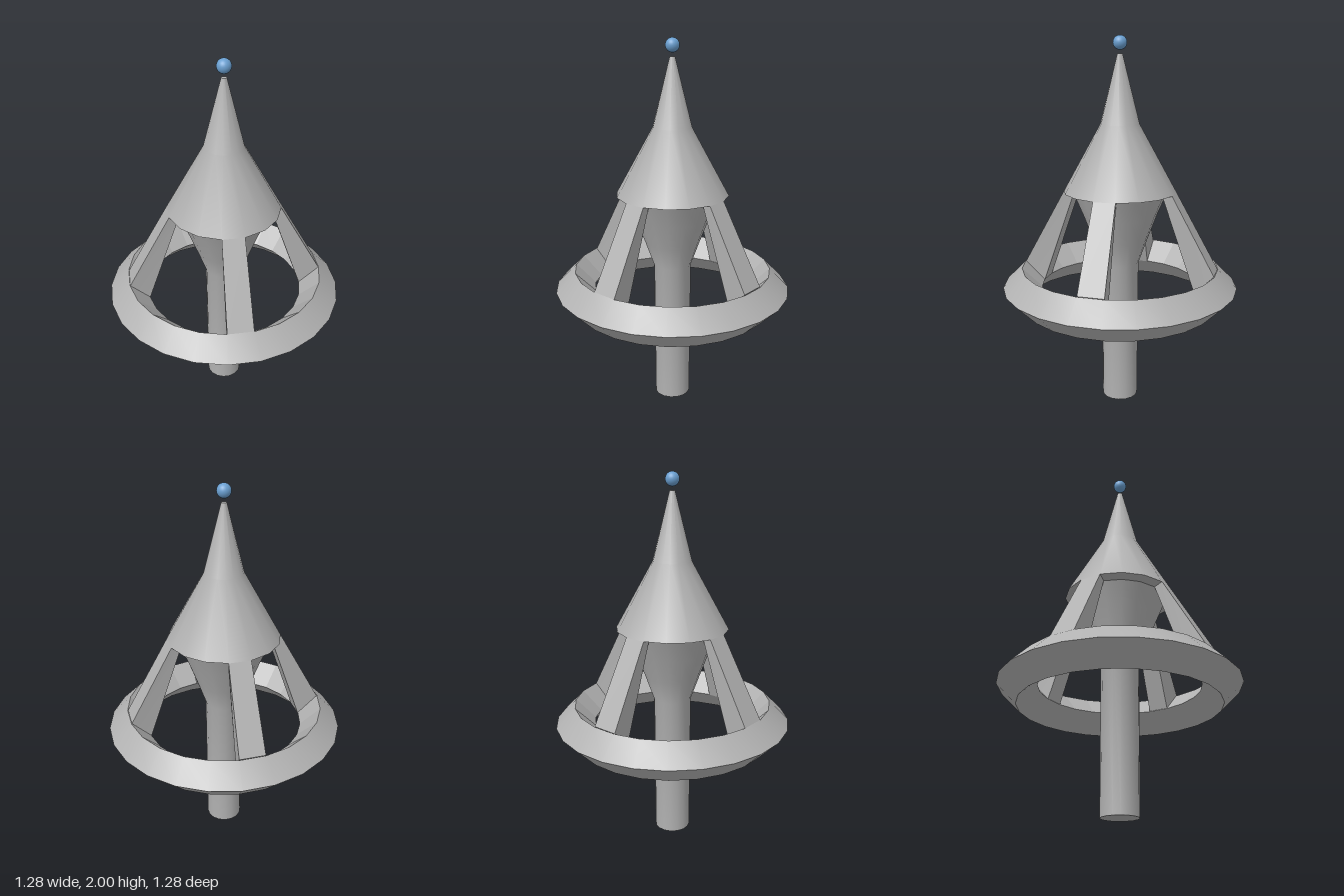
import * as THREE from 'three';
import { toCreasedNormals } from 'three/addons/utils/BufferGeometryUtils.js';

const DEG = Math.PI / 180;
const grey = new THREE.MeshStandardMaterial({ color: 0xb2b2b2 });
grey.name = 'stone grey';
const blue = new THREE.MeshStandardMaterial({ color: 0x6a9fd0 });
blue.name = 'sky blue';

function addMesh(parent, name, geometry, material) {
  const mesh = new THREE.Mesh(geometry, material);
  mesh.name = name;
  parent.add(mesh);
  return mesh;
}

// Lathe from [radius, height] pairs, edges sharper than the crease stay hard
function lathe(profile, sides, start, crease) {
  const points = profile.map(([r, y]) => new THREE.Vector2(r, y));
  return toCreasedNormals(new THREE.LatheGeometry(points, sides, start, Math.PI * 2), crease);
}

// Tapered strut joining one facet of the ring to one facet of the eave
function strutGeometry(angle) {
  const g = new THREE.BoxGeometry(1, 1, 1);
  const pos = g.attributes.position;
  for (let i = 0; i < pos.count; i++) {
    const top = pos.getY(i) > 0, outer = pos.getZ(i) > 0;
    const phi = angle + Math.sign(pos.getX(i)) * (top ? 11.25 : 7.5) * DEG;
    const r = top ? (outer ? 0.303 : 0.25) : (outer ? 0.535 : 0.43);
    const y = top ? (outer ? 1.19 : 1.178) : (outer ? 0.773 : 0.667);
    pos.setXYZ(i, r * Math.sin(phi), y, r * Math.cos(phi));
  }
  return toCreasedNormals(g, 0.2);
}

export function createModel() {
  const group = new THREE.Group();
  group.name = 'spire';

  // Post, flared neck, eave and spire in one profile
  addMesh(group, 'postAndSpire', lathe([
    [0, 0], [0.098, 0], [0.102, 0.79], [0.15, 0.925], [0.2, 1.06], [0.25, 1.178],
    [0.303, 1.19], [0.104, 1.55], [0.014, 1.907], [0, 1.907],
  ], 16, 0, 0.6), grey);

  // Diamond section ring: smooth outside, faceted inside, tipped very slightly
  const ring = new THREE.Group();
  ring.name = 'ring';
  ring.position.y = 0.667;
  ring.rotation.z = -0.006;
  const start = 3.75 * DEG;
  addMesh(ring, 'ringOuter', lathe([[0.537, -0.107], [0.643, 0], [0.537, 0.107]], 24, start, 0.5), grey);
  addMesh(ring, 'ringInner', lathe([[0.537, 0.107], [0.43, 0], [0.537, -0.107]], 24, start, 0.02), grey);
  group.add(ring);

  // Four struts
  for (let i = 0; i < 4; i++) {
    addMesh(group, 'strut' + (i + 1), strutGeometry((-33.75 + 90 * i) * DEG), grey);
  }

  // Floating ball above the tip
  addMesh(group, 'ball', new THREE.SphereGeometry(0.037, 24, 16), blue).position.y = 1.963;

  return group;
}
